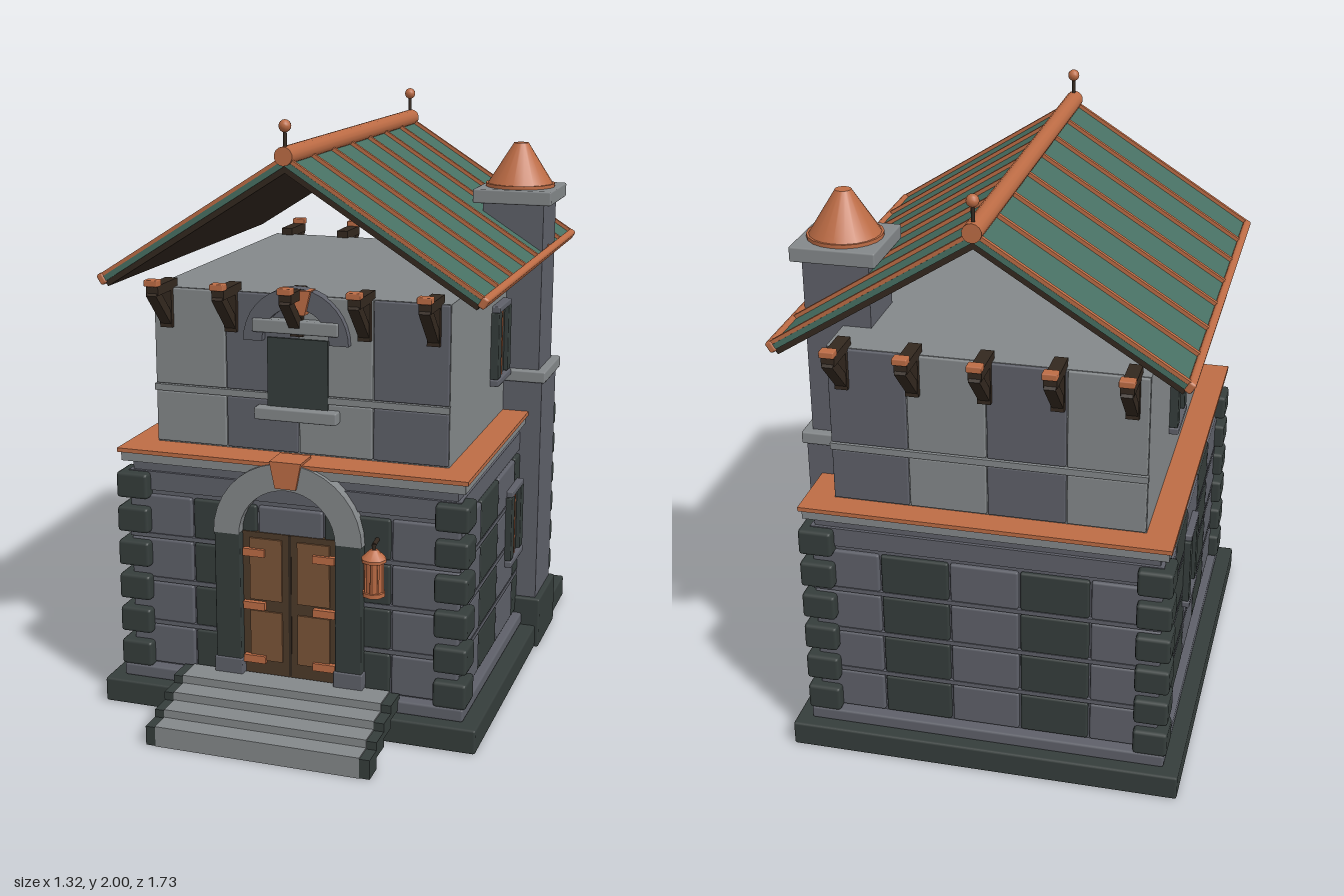
import * as THREE from 'three';
import { RoundedBoxGeometry } from 'three/addons/geometries/RoundedBoxGeometry.js';

const mat = (name, color) => Object.assign(new THREE.MeshStandardMaterial({ color }), { name });
const M = {
  dark: mat('darkStone', 0x353d3b),
  mid: mat('midStone', 0x5e6069),
  light: mat('lightStone', 0x84888a),
  copper: mat('copper', 0xbd6c45),
  green: mat('roofGreen', 0x477063),
  timber: mat('darkTimber', 0x33281f),
  door: mat('doorFrame', 0x4d3a29),
  panel: mat('doorPanel', 0x7b5538),
};

function add(parent, name, geometry, material, x = 0, y = 0, z = 0) {
  const m = new THREE.Mesh(geometry, material);
  m.name = name;
  m.position.set(x, y, z);
  parent.add(m);
  return m;
}
// Box given by its limits, with an optional rounded edge
function box(parent, name, material, x0, x1, y0, y1, z0, z1, r = 0) {
  const s = [x1 - x0, y1 - y0, z1 - z0];
  const g = r ? new RoundedBoxGeometry(...s, 1, r) : new THREE.BoxGeometry(...s);
  return add(parent, name, g, material, (x0 + x1) / 2, (y0 + y1) / 2, (z0 + z1) / 2);
}
// Box centred in x and z
const slab = (p, name, m, hx, y0, y1, hz, r) => box(p, name, m, -hx, hx, y0, y1, -hz, hz, r);

function sub(parent, name, x = 0, y = 0, z = 0, ry = 0) {
  const g = new THREE.Group();
  g.name = name;
  g.position.set(x, y, z);
  g.rotation.y = ry;
  parent.add(g);
  return g;
}
function rod(parent, name, material, a, b, r, sides = 8) {
  const A = new THREE.Vector3(...a), B = new THREE.Vector3(...b);
  const m = add(parent, name, new THREE.CylinderGeometry(r, r, A.distanceTo(B), sides), material);
  m.position.copy(A).add(B).multiplyScalar(0.5);
  m.quaternion.setFromUnitVectors(new THREE.Vector3(0, 1, 0), B.sub(A).normalize());
  return m;
}
// Half ring of stone
function arch(parent, name, material, y, inner, outer, z0, z1) {
  const s = new THREE.Shape();
  s.absarc(0, 0, outer, 0, Math.PI, false);
  s.absarc(0, 0, inner, Math.PI, 0, true);
  const g = new THREE.ExtrudeGeometry(s, { depth: z1 - z0, bevelEnabled: false, curveSegments: 9 });
  return add(parent, name, g, material, 0, y, z0);
}
function keystone(parent, y0, y1, z0, z1, w0, w1) {
  const s = new THREE.Shape([[-w0, y0], [w0, y0], [w1, y1], [-w1, y1]].map(p => new THREE.Vector2(...p)));
  add(parent, 'keystone', new THREE.ExtrudeGeometry(s, { depth: z1 - z0, bevelEnabled: false }), M.copper, 0, 0, z0);
}

// Lower storey: plinth, coursed walls, corner stones and copper ledge
function lowerStorey(root) {
  const g = sub(root, 'lowerStorey', -0.007, 0, -0.128);
  slab(g, 'plinth', M.dark, 0.653, 0, 0.085, 0.732, 0.008);
  slab(g, 'plinthCourse', M.mid, 0.6, 0.085, 0.13, 0.688, 0.008);
  slab(g, 'wallCore', M.mid, 0.562, 0.13, 0.86, 0.645);
  slab(g, 'cornice', M.light, 0.592, 0.855, 0.886, 0.675);
  slab(g, 'copperLedge', M.copper, 0.602, 0.886, 0.9, 0.685);
  for (let i = 0; i < 4; i++) {
    const odd = i % 2, half = odd ? 0.63 : 0.575, d = odd ? 0.562 : 0.645;
    const face = sub(g, 'wallFace', 0, 0, 0, i * Math.PI / 2);
    const w = half * 2 / 5;
    for (let c = 0; c < 5; c++) for (let r = 0; r < 4; r++) {
      const x = -half + c * w, y = 0.135 + r * 0.155;
      box(face, 'wallBlock', c % 2 ? M.dark : M.mid, x + 0.003, x + w - 0.003, y, y + 0.139, d - 0.02, d + 0.013, 0.008);
    }
    box(face, 'topCourse', M.mid, -half, half, 0.755, 0.82, d - 0.02, d + 0.011);
    for (let r = 1; r < 4; r++)
      box(face, 'courseStrip', M.mid, -half, half, 0.122 + r * 0.155, 0.137 + r * 0.155, d - 0.02, d + 0.013);
  }
  for (const sx of [-1, 1]) for (const sz of [-1, 1]) for (let k = 0; k < 6; k++)
    add(g, 'cornerStone', new RoundedBoxGeometry(0.113, 0.09, 0.113, 1, 0.012), M.dark, sx * 0.552, 0.172 + k * 0.12, sz * 0.634);
}

// Upper storey: plain sides, panelled front and back, eave brackets
function upperStorey(root) {
  const g = sub(root, 'upperStorey', -0.007, 0, -0.145);
  slab(g, 'upperWall', M.light, 0.507, 0.9, 1.432, 0.576);
  for (const s of [1, -1]) {
    for (let c = 0; c < 4; c++) for (const [y0, y1] of [[0.905, 1.078], [1.104, 1.43]]) {
      const x = -0.507 + c * 0.2535;
      const z = [s * 0.57, s * 0.586].sort((a, b) => a - b);
      box(g, 'upperBlock', c % 2 ? M.mid : M.light, x + 0.002, x + 0.2515, y0, y1, ...z, 0.005);
    }
    box(g, 'upperStrip', M.light, -0.509, 0.509, 1.08, 1.102, s * 0.58 - 0.01, s * 0.58 + 0.01);
    const row = sub(g, 'brackets', 0, 0, 0, s > 0 ? 0 : Math.PI);
    for (let k = -2; k <= 2; k++) {
      const b = sub(row, 'eaveBracket', k * 0.228, 0, 0);
      box(b, 'beam', M.timber, -0.021, 0.021, 1.425, 1.458, 0.55, 0.705);
      box(b, 'wallPost', M.timber, -0.021, 0.021, 1.3, 1.43, 0.57, 0.603);
      const strut = box(b, 'strut', M.timber, -0.018, 0.018, -0.085, 0.085, -0.016, 0.016);
      strut.position.set(0, 1.375, 0.642);
      strut.rotation.x = 0.78;
      box(b, 'bracketCap', M.copper, -0.024, 0.024, 1.455, 1.477, 0.68, 0.718, 0.004);
    }
  }
  // Front window
  const w = sub(g, 'frontWindow');
  box(w, 'pane', M.dark, -0.104, 0.104, 1.05, 1.29, 0.57, 0.594);
  box(w, 'sill', M.light, -0.142, 0.142, 1.018, 1.06, 0.57, 0.625, 0.006);
  box(w, 'lintel', M.light, -0.147, 0.147, 1.31, 1.355, 0.57, 0.622, 0.006);
  arch(w, 'windowArch', M.mid, 1.28, 0.115, 0.18, 0.57, 0.612);
  keystone(w, 1.375, 1.455, 0.57, 0.625, 0.036, 0.056);
}

// Open pitched roof with seams, ridge and finials
function roof(root) {
  const g = sub(root, 'roof', -0.007, 1.878, -0.145);
  const L = 0.762, hz = 0.7;
  for (const ry of [0, Math.PI]) {
    const slope = sub(sub(g, 'roofSide', 0, 0, 0, ry), 'slope');
    slope.rotation.z = -0.565;
    box(slope, 'sheet', M.green, 0, L, -0.018, 0, -hz, hz);
    box(slope, 'underside', M.timber, 0, L - 0.01, -0.036, -0.018, -hz + 0.004, hz - 0.004);
    for (let i = 0; i < 8; i++) {
      const z = -hz + 0.008 + i * (2 * hz - 0.016) / 7;
      box(slope, 'seam', M.copper, 0, L, -0.002, 0.012, z - 0.007, z + 0.007);
    }
    box(slope, 'eaveTrim', M.copper, L - 0.018, L + 0.008, -0.024, 0.014, -hz - 0.003, hz + 0.003, 0.008);
  }
  rod(g, 'ridge', M.copper, [0, 0.01, -0.71], [0, 0.01, 0.71], 0.03, 14);
  for (const z of [-0.69, 0.69]) {
    rod(g, 'finialPost', M.timber, [0, 0.03, z], [0, 0.09, z], 0.006);
    add(g, 'finialBall', new THREE.SphereGeometry(0.02, 12, 8), M.copper, 0, 0.102, z);
  }
}

function chimney(root) {
  const g = sub(root, 'chimney', 0.515, 0, -0.453);
  slab(g, 'chimneyFoot', M.dark, 0.145, 0, 0.19, 0.143, 0.008);
  slab(g, 'lowerShaft', M.mid, 0.125, 0.19, 1.012, 0.125);
  slab(g, 'shaftBand', M.light, 0.139, 1.01, 1.052, 0.139, 0.006);
  slab(g, 'upperShaft', M.mid, 0.109, 1.05, 1.648, 0.109);
  slab(g, 'chimneyCap', M.light, 0.14, 1.645, 1.695, 0.14, 0.006);
  add(g, 'cowlRim', new THREE.CylinderGeometry(0.123, 0.123, 0.014, 20), M.copper, 0, 1.7, 0);
  add(g, 'cowl', new THREE.CylinderGeometry(0.026, 0.116, 0.142, 20), M.copper, 0, 1.777, 0);
}

// Side window facing +z of its own group
function sideWindow(root, x, y, ry) {
  const g = sub(root, 'sideWindow', x, y, -0.212, ry);
  box(g, 'sill', M.mid, -0.098, 0.098, -0.142, -0.118, -0.02, 0.03, 0.005);
  box(g, 'lintel', M.mid, -0.088, 0.088, 0.117, 0.14, -0.02, 0.028, 0.005);
  box(g, 'glass', M.dark, -0.06, 0.06, -0.12, 0.12, -0.02, 0.012);
  box(g, 'mullion', M.copper, -0.005, 0.005, -0.12, 0.12, 0.01, 0.018);
  for (const s of [-1, 1])
    box(g, 'shutter', M.dark, s * 0.074 - 0.024, s * 0.074 + 0.024, -0.117, 0.118, -0.02, 0.027, 0.004);
}

function entrance(root) {
  const g = sub(root, 'entrance', -0.007, 0, 0);
  box(g, 'doorBacking', M.door, -0.165, 0.165, 0.14, 0.65, 0.48, 0.534);
  box(g, 'doorGap', M.timber, -0.005, 0.005, 0.155, 0.65, 0.53, 0.537);
  for (const s of [-1, 1]) {
    const mid = s * 0.083;
    for (const [y0, y1] of [[0.2, 0.375], [0.415, 0.63]])
      box(g, 'doorPanel', M.panel, mid - 0.056, mid + 0.056, y0, y1, 0.53, 0.541);
    for (const y of [0.205, 0.395, 0.582])
      box(g, 'hinge', M.copper, s * 0.122 - 0.038, s * 0.122 + 0.038, y - 0.013, y + 0.013, 0.53, 0.552);
    box(g, 'jamb', M.dark, s * 0.21 - 0.045, s * 0.21 + 0.045, 0.2, 0.65, 0.46, 0.562, 0.004);
    box(g, 'jambFoot', M.mid, s * 0.21 - 0.05, s * 0.21 + 0.05, 0.13, 0.205, 0.46, 0.568, 0.004);
  }
  arch(g, 'doorArch', M.light, 0.645, 0.167, 0.257, 0.47, 0.564);
  keystone(g, 0.82, 0.91, 0.47, 0.574, 0.036, 0.054);
  // Steps with dark ends
  const steps = [[0.79, 0.868, 0, 0.07], [0.712, 0.795, 0.04, 0.097], [0.635, 0.717, 0.07, 0.125], [0.54, 0.64, 0.098, 0.152]];
  for (const [z0, z1, y0, y1] of steps) {
    box(g, 'step', M.light, -0.347, 0.347, y0, y1, z0, z1);
    for (const s of [-1, 1])
      box(g, 'stepEnd', M.dark, s * 0.363 - 0.018, s * 0.363 + 0.018, y0, y1 - 0.005, z0, z1 - 0.003);
  }
}

// Hanging lantern beside the door
function lantern(root) {
  const g = sub(root, 'lantern', 0.3, 0, 0.592);
  rod(g, 'arm', M.timber, [-0.01, 0.668, -0.08], [0, 0.672, 0.002], 0.008);
  rod(g, 'hook', M.timber, [0, 0.635, 0], [0, 0.676, 0], 0.007);
  const cyl = (name, r0, r1, y0, y1, m = M.copper) =>
    add(g, name, new THREE.CylinderGeometry(r1, r0, y1 - y0, 8), m, 0, (y0 + y1) / 2, 0);
  cyl('lanternBase', 0.038, 0.038, 0.502, 0.516);
  cyl('lanternBody', 0.029, 0.029, 0.516, 0.622);
  cyl('lanternRim', 0.042, 0.042, 0.618, 0.628);
  cyl('lanternRoof', 0.042, 0.012, 0.628, 0.658);
  for (let i = 0; i < 8; i++) {
    const a = i * Math.PI / 4, x = 0.03 * Math.cos(a), z = 0.03 * Math.sin(a);
    rod(g, 'lanternBar', M.copper, [x, 0.51, z], [x, 0.622, z], 0.004, 5);
  }
}

export function createModel() {
  const root = new THREE.Group();
  root.name = 'stoneHouse';
  lowerStorey(root);
  upperStorey(root);
  roof(root);
  chimney(root);
  for (const s of [-1, 1]) {
    sideWindow(root, -0.007 + s * 0.508, 1.178, s * Math.PI / 2);
    sideWindow(root, -0.007 + s * 0.57, 0.517, s * Math.PI / 2);
  }
  entrance(root);
  lantern(root);
  return root;
}
